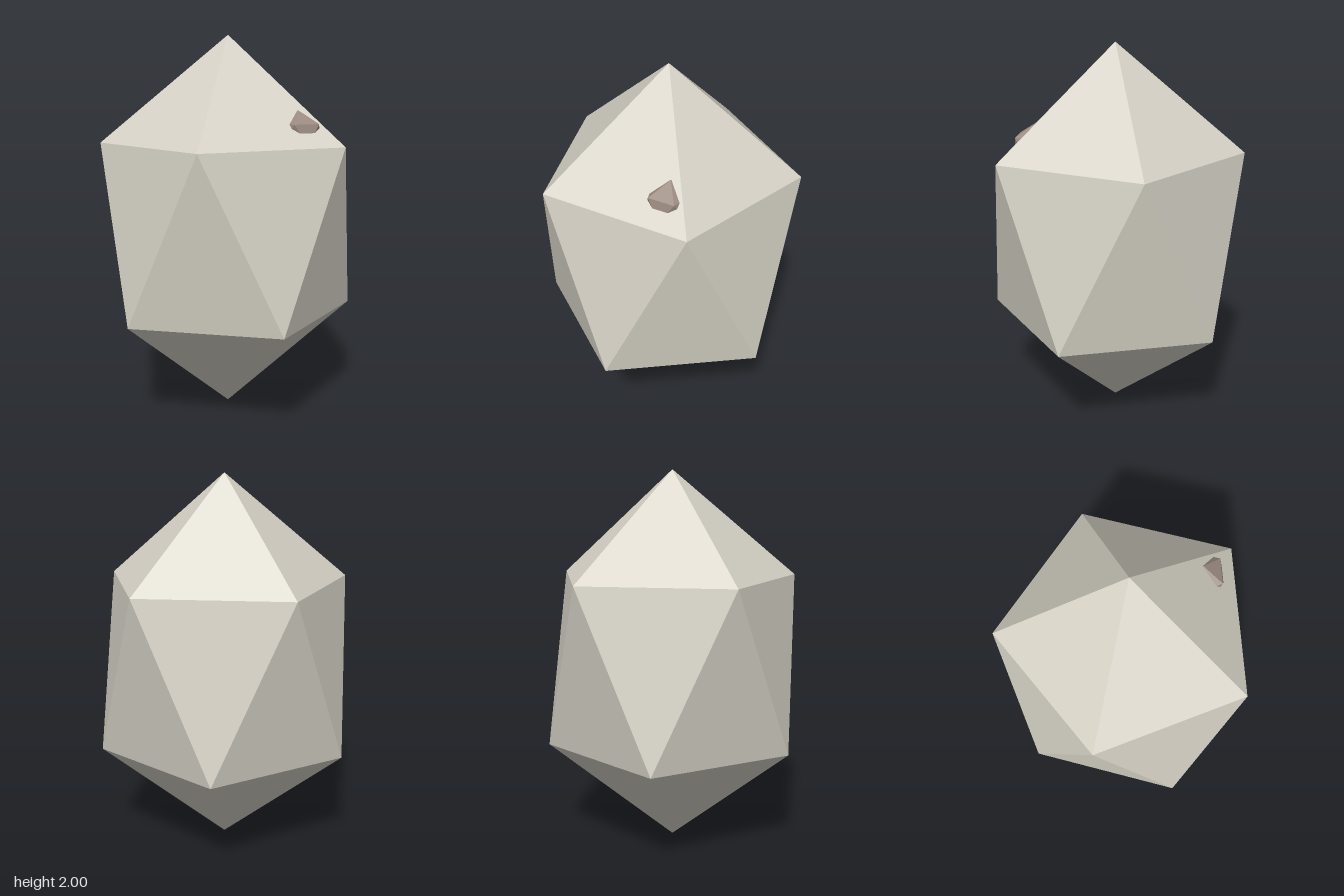
import * as THREE from 'three';

// Twenty-sided crystal: two poles and two staggered rings of five corners.
function crystalGeometry(radius, halfHeight) {
  const ringY = halfHeight / Math.sqrt(5);
  const ring = (y, turn) => Array.from({ length: 5 }, (_, i) => {
    const a = (i + turn) * Math.PI * 2 / 5;
    return [radius * Math.cos(a), y, radius * Math.sin(a)];
  });
  const upper = ring(ringY, 0), lower = ring(-ringY, 0.5);
  const top = [0, halfHeight, 0], bottom = [0, -halfHeight, 0];
  const corners = [];
  for (let i = 0; i < 5; i++) {
    const j = (i + 1) % 5;
    corners.push(
      top, upper[j], upper[i],
      upper[i], upper[j], lower[i],
      lower[i], upper[j], lower[j],
      bottom, lower[i], lower[j],
    );
  }
  const geometry = new THREE.BufferGeometry();
  geometry.setAttribute('position', new THREE.Float32BufferAttribute(corners.flat(), 3));
  geometry.computeVertexNormals();
  return geometry;
}

function crystal(name, radius, halfHeight, color, x, y, z) {
  const material = new THREE.MeshStandardMaterial({ color, flatShading: true });
  const mesh = new THREE.Mesh(crystalGeometry(radius, halfHeight), material);
  mesh.name = name;
  mesh.position.set(x, y, z);
  return mesh;
}

export function createModel() {
  const model = new THREE.Group();
  model.name = 'facetedStone';

  // Tall faceted body
  model.add(crystal('body', 0.67, 1, 0xd6d2c6, 0, 1, 0));

  // Small chip of the same shape, half sunk in the upper front face
  model.add(crystal('chip', 0.116, 0.118, 0x9a8a80, 0.092, 1.507, 0.42));

  return model;
}
